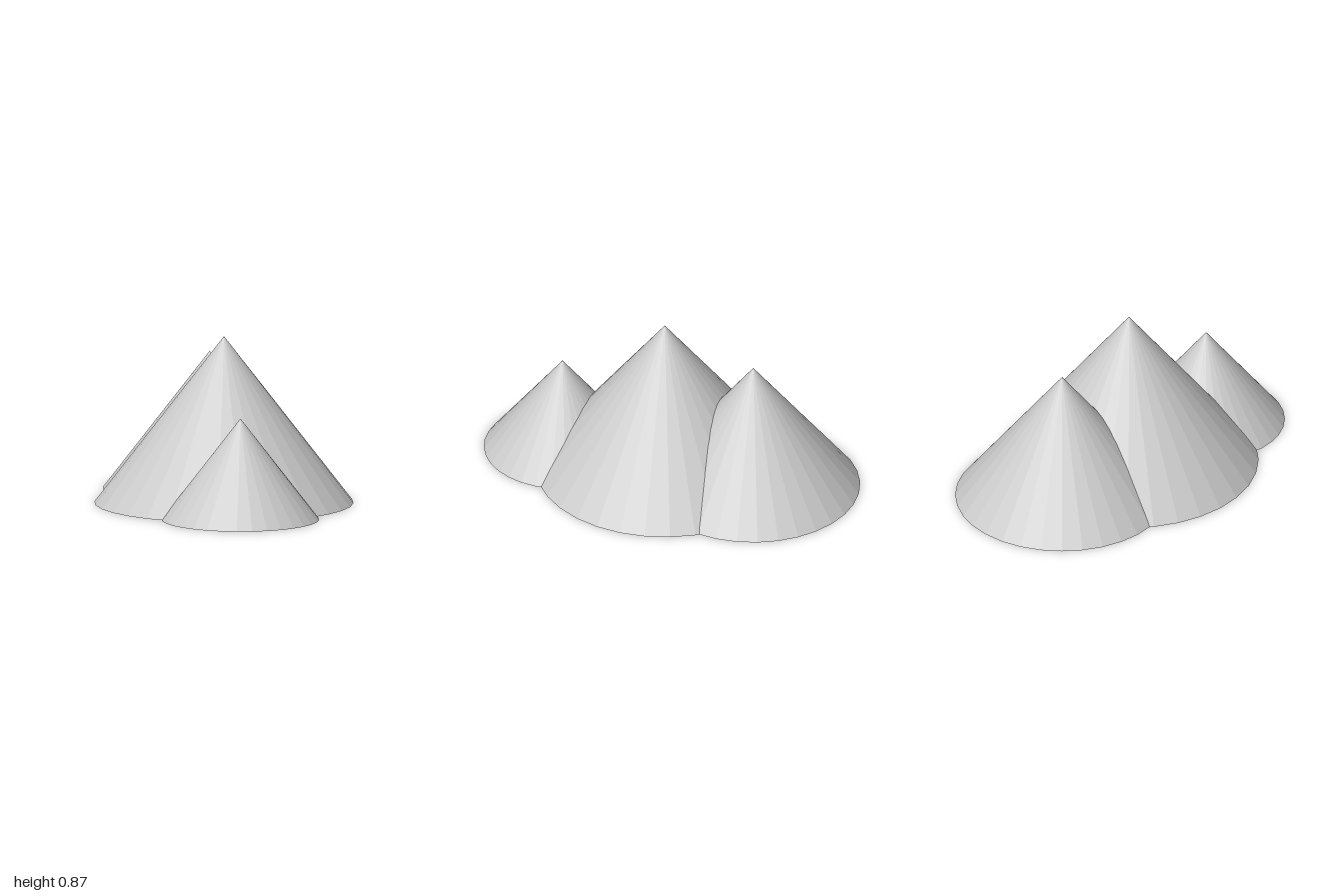
import * as THREE from 'three';

export function createModel() {
  const group = new THREE.Group();
  group.name = 'mountainRange';
  const material = new THREE.MeshStandardMaterial({ color: 0xcccccc, flatShading: true });

  // Three overlapping faceted cones in a row, all with the same slope
  const peaks = [
    { name: 'frontPeak', radius: 0.405, height: 0.525, z: 0.595 },
    { name: 'mainPeak', radius: 0.667, height: 0.865, z: 0.035 },
    { name: 'backPeak', radius: 0.55, height: 0.713, z: -0.45 },
  ];
  for (const { name, radius, height, z } of peaks) {
    const peak = new THREE.Mesh(new THREE.ConeGeometry(radius, height, 32), material);
    peak.name = name;
    peak.position.set(0, height / 2, z);
    group.add(peak);
  }
  return group;
}
